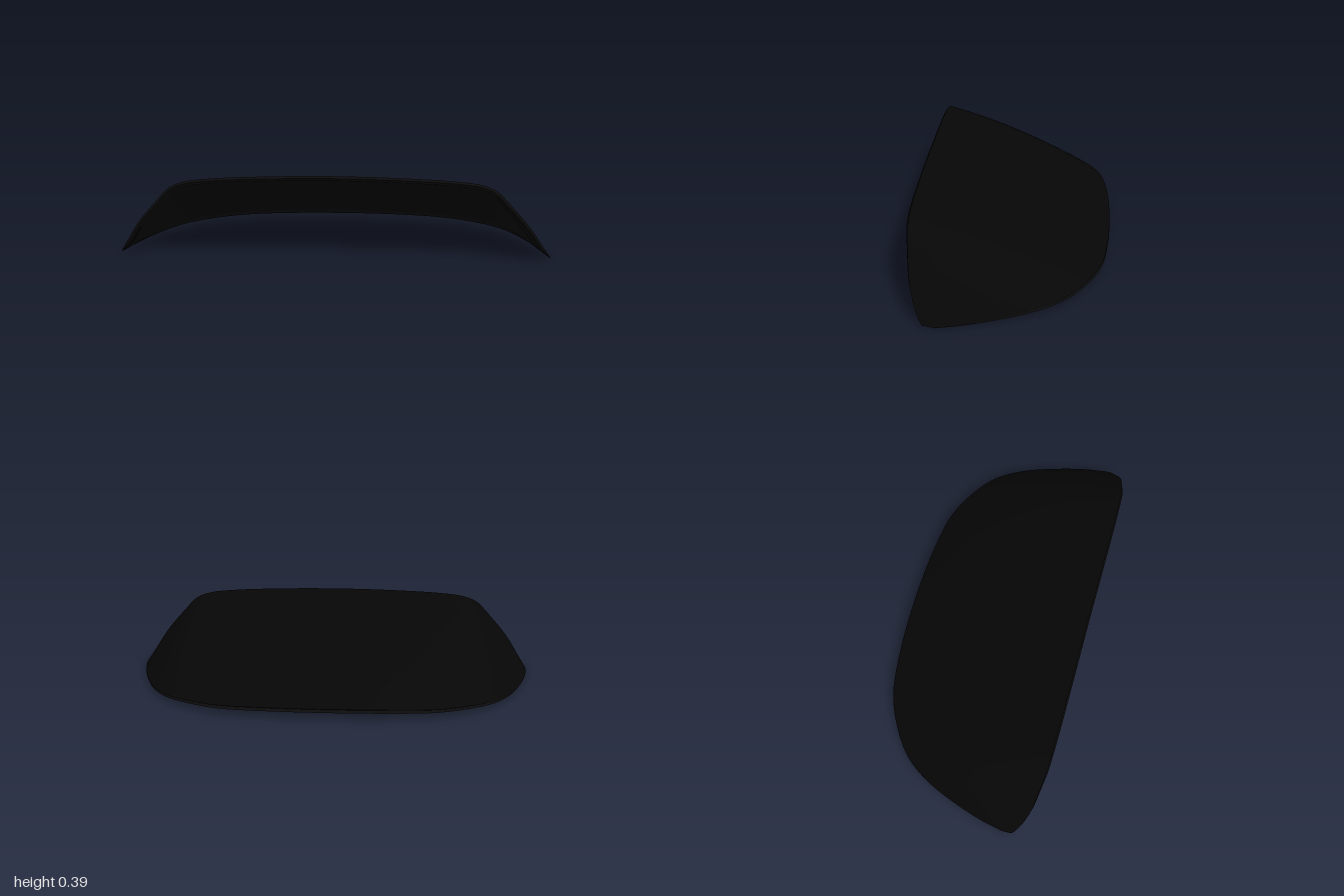
import * as THREE from 'three';

// Matched half outlines, centre to side tip: front arch and rear rim
const ARCH = [[0, .395, .437], [.3, .39, .438], [.55, .378, .438], [.67, .363, .436], [.74, .335, .434],
  [.81, .265, .425], [.9, .16, .408], [.965, .06, .375], [.997, .013, .347]];
const RIM = [[0, .06, -.443], [.28, .058, -.432], [.5, .052, -.4], [.65, .046, -.335], [.78, .037, -.24],
  [.865, .027, -.12], [.925, .017, .02], [.975, .009, .18], [.998, .004, .295]];

// Mirror a half outline into one smooth curve running from -x to +x
function mirroredCurve(half) {
  const right = half.slice(1).reverse().map(([x, y, z]) => new THREE.Vector3(-x, y, z));
  return new THREE.CatmullRomCurve3([...right, ...half.map((p) => new THREE.Vector3(...p))]);
}
const arch = mirroredCurve(ARCH);
const rim = mirroredCurve(RIM);

const chord = (u) => rim.getPoint(u).sub(arch.getPoint(u));

// Outer skin: arch to rim with a slight crown
function outer(u, v) {
  const a = arch.getPoint(u), c = chord(u);
  const bulge = 4 * v * (1 - v) * 0.03 * c.length();
  const p = a.addScaledVector(c, v);
  p.y += bulge;
  p.x += bulge * 0.6 * Math.pow(p.x, 3);
  return p;
}

function normal(u, v) {
  const e = 0.004;
  const u0 = Math.max(0, u - e), u1 = Math.min(1, u + e);
  const v0 = Math.max(0, v - e), v1 = Math.min(1, v + e);
  const tu = outer(u1, v).sub(outer(u0, v));
  const tv = outer(u, v1).sub(outer(u, v0));
  return tu.cross(tv).normalize();
}

// Inner skin: offset inwards and stopping short of both edges
function inner(u, v) {
  const len = chord(u).length();
  const start = Math.min(0.02 / len, 0.2);
  const end = 1 - Math.min(0.07 / len, 0.3);
  const w = start + (end - start) * v;
  return outer(u, w).addScaledVector(normal(u, w), -0.02 * Math.min(1, len / 0.25));
}

// Rear edge: small groove, then a lip hanging below it
function groove(u) {
  const c = chord(u);
  const p = outer(u, 1).addScaledVector(c, -0.01);
  p.y -= rim.getPoint(u).y * 0.15;
  return p;
}
function lip(u) {
  const p = outer(u, 1);
  p.y -= p.y * 0.3;
  return p;
}

// Front edge: rounded nose below the outer skin
function nose(u) {
  const c = chord(u);
  return outer(u, 0).addScaledVector(normal(u, 0), -0.012 * Math.min(1, c.length() / 0.25)).addScaledVector(c, -0.005);
}

// Smooth surface from a point function over u and v
function surface(fn, nu, nv) {
  const pos = [], index = [];
  for (let j = 0; j <= nv; j++) {
    for (let i = 0; i <= nu; i++) pos.push(...fn(i / nu, j / nv).toArray());
  }
  for (let j = 0; j < nv; j++) {
    for (let i = 0; i < nu; i++) {
      const a = j * (nu + 1) + i, d = a + nu + 1;
      index.push(a, a + 1, d + 1, a, d + 1, d);
    }
  }
  const g = new THREE.BufferGeometry();
  g.setAttribute('position', new THREE.Float32BufferAttribute(pos, 3));
  g.setIndex(index);
  g.computeVertexNormals();
  return g;
}

export function createModel() {
  const model = new THREE.Group();
  model.name = 'hood';
  const shell = new THREE.MeshStandardMaterial({ color: 0x060606, side: THREE.DoubleSide });
  const trim = new THREE.MeshStandardMaterial({ color: 0x0c0c0c, side: THREE.DoubleSide });
  const N = 96;

  function add(name, parent, geometry, material) {
    const mesh = new THREE.Mesh(geometry, material);
    mesh.name = name;
    parent.add(mesh);
  }

  add('outerSkin', model, surface(outer, N, 20), shell);
  add('innerSkin', model, surface((u, v) => inner(u, 1 - v), N, 20), shell);

  // Edge bands, each a set of strips so the corners between them stay sharp
  const bands = {
    rearRim: [(u) => outer(u, 1), groove, lip, (u) => inner(u, 1)],
    frontEdge: [(u) => inner(u, 0), nose, (u) => outer(u, 0)],
  };
  for (const [name, rows] of Object.entries(bands)) {
    const group = new THREE.Group();
    group.name = name;
    for (let k = 0; k < rows.length - 1; k++) {
      add(name + 'Strip', group, surface((u, v) => rows[k](u).lerp(rows[k + 1](u), v), N, 1), trim);
    }
    model.add(group);
  }

  // Small caps closing the side tips
  for (const u of [0, 1]) {
    add('tipCap', model, surface((s, t) => outer(u, s).lerp(inner(u, s), t), 8, 1), trim);
  }
  return model;
}
